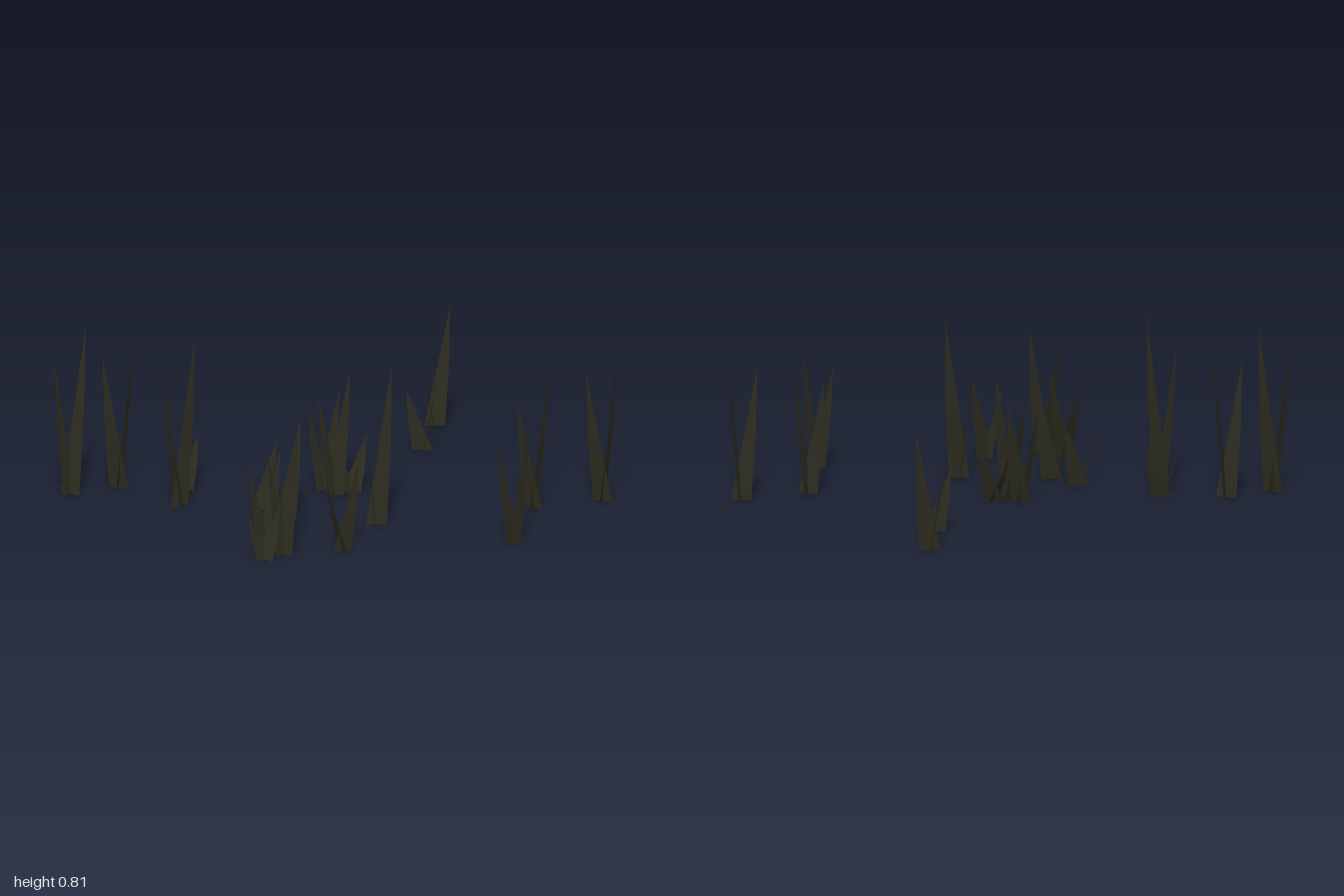
import * as THREE from 'three';

const grassMat = new THREE.MeshStandardMaterial({ color: 0x2d2c20, side: THREE.DoubleSide, flatShading: true });
grassMat.name = 'dark dry grass';

// One flat leaning blade: wide foot, narrower middle, pointed tip
function makeBlade(name, yawDeg, leanX, leanZ, height) {
  const a = THREE.MathUtils.degToRad(yawDeg), half = 0.048;
  const dx = Math.cos(a) * half, dz = Math.sin(a) * half;
  const points = [];
  for (const [t, lean, width] of [[0, 0, 1], [0.5, 0.57, 0.55]]) {
    for (const s of [-1, 1]) {
      points.push(leanX * lean + s * dx * width, height * t, leanZ * lean + s * dz * width);
    }
  }
  points.push(leanX, height, leanZ);
  const geo = new THREE.BufferGeometry();
  geo.setAttribute('position', new THREE.Float32BufferAttribute(points, 3));
  geo.setIndex([0, 1, 3, 0, 3, 2, 2, 3, 4]);
  geo.computeVertexNormals();
  const mesh = new THREE.Mesh(geo, grassMat);
  mesh.name = name;
  return mesh;
}

// Each tuft: x, z, height, turn of the crossed blades in degrees
const tufts = [
  [-0.94, -0.86, 0.785, 68], [-0.72, -0.785, 0.76, -34], [-0.515, -0.58, 0.25, 32],
  [-0.65, -0.43, 0.805, 5], [-0.385, -0.175, 0.3, 32], [-0.37, -0.01, 0.46, 33],
  [-0.64, 0.19, 0.43, 73], [-0.76, 0.345, 0.25, 75], [-0.65, 0.34, 0.61, 73],
  [-0.41, 0.465, 0.4, 5], [-0.087, 0.295, 0.755, 32], [0, -0.205, 0.47, 72],
  [0, -0.13, 0.58, 68], [0.085, -0.115, 0.26, 66], [0.257, 0.865, 0.56, -12],
  [0.605, 0.555, 0.62, -25], [0.907, 0.675, 0.735, -34], [0.66, -0.335, 0.35, -53],
  [0.895, -0.555, 0.555, 32],
];

export function createModel() {
  const model = new THREE.Group();
  model.name = 'grassPatch';
  for (const [x, z, height, yaw] of tufts) {
    const tuft = new THREE.Group();
    tuft.name = 'grassTuft';
    // Tall blade leans to +x, short one to the back on -x
    tuft.add(makeBlade('tallBlade', yaw, 0.09, -0.003, height));
    tuft.add(makeBlade('shortBlade', yaw + 95, -0.06, -0.043, height * 0.84));
    tuft.position.set(x, 0, z);
    model.add(tuft);
  }
  return model;
}
